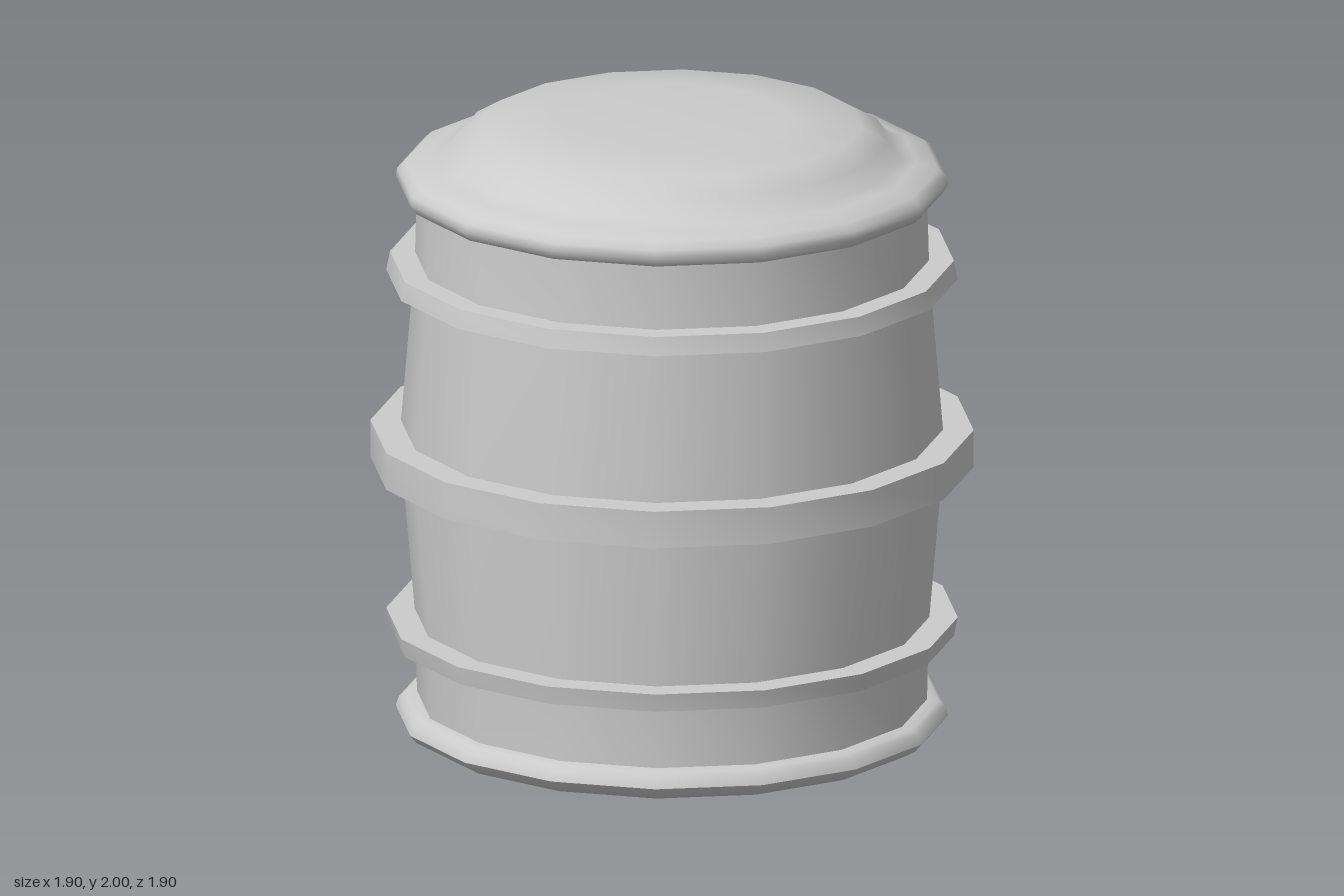
import * as THREE from 'three';
import { toCreasedNormals } from 'three/addons/utils/BufferGeometryUtils.js';

const SIDES = 16;

// Turns a [radius, height] profile, listed bottom to top, around the y axis
function turned(name, profile, crease) {
  const points = profile.map(([r, y]) => new THREE.Vector2(r, y));
  const geometry = toCreasedNormals(new THREE.LatheGeometry(points, SIDES), crease);
  const mesh = new THREE.Mesh(geometry, new THREE.MeshStandardMaterial({ color: 0xcccccc }));
  mesh.name = name;
  return mesh;
}

// Closed band with a sloped outer face
function hoop(name, y0, y1, r0, r1) {
  const inner = 0.79;
  return turned(name, [[inner, y0], [r0, y0], [r1, y1], [inner, y1], [inner, y0]], 0.7);
}

export function createModel() {
  const group = new THREE.Group();
  group.name = 'barrel';

  // Rounded foot with a flat underside
  group.add(turned('bottomRim', [
    [0, 0], [0.76, 0], [0.81, 0.012], [0.85, 0.035], [0.87, 0.06],
    [0.86, 0.09], [0.84, 0.105], [0.8, 0.11],
  ], 0.9));

  // Gently bulging wall
  group.add(turned('wall', [
    [0.803, 0.1], [0.808, 0.35], [0.853, 0.88], [0.853, 1.0], [0.81, 1.52], [0.803, 1.78],
  ], 0.7));

  // Rounded upper rim rising to a domed lid
  group.add(turned('lid', [
    [0.8, 1.765], [0.85, 1.77], [0.87, 1.8], [0.865, 1.825], [0.84, 1.848],
    [0.77, 1.868], [0.72, 1.882], [0.68, 1.935], [0.6, 1.982], [0.38, 2], [0, 2],
  ], 0.9));

  // Three hoops
  group.add(hoop('lowerHoop', 0.32, 0.38, 0.888, 0.9));
  group.add(hoop('middleHoop', 0.875, 0.995, 0.95, 0.95));
  group.add(hoop('upperHoop', 1.49, 1.55, 0.9, 0.888));

  return group;
}
